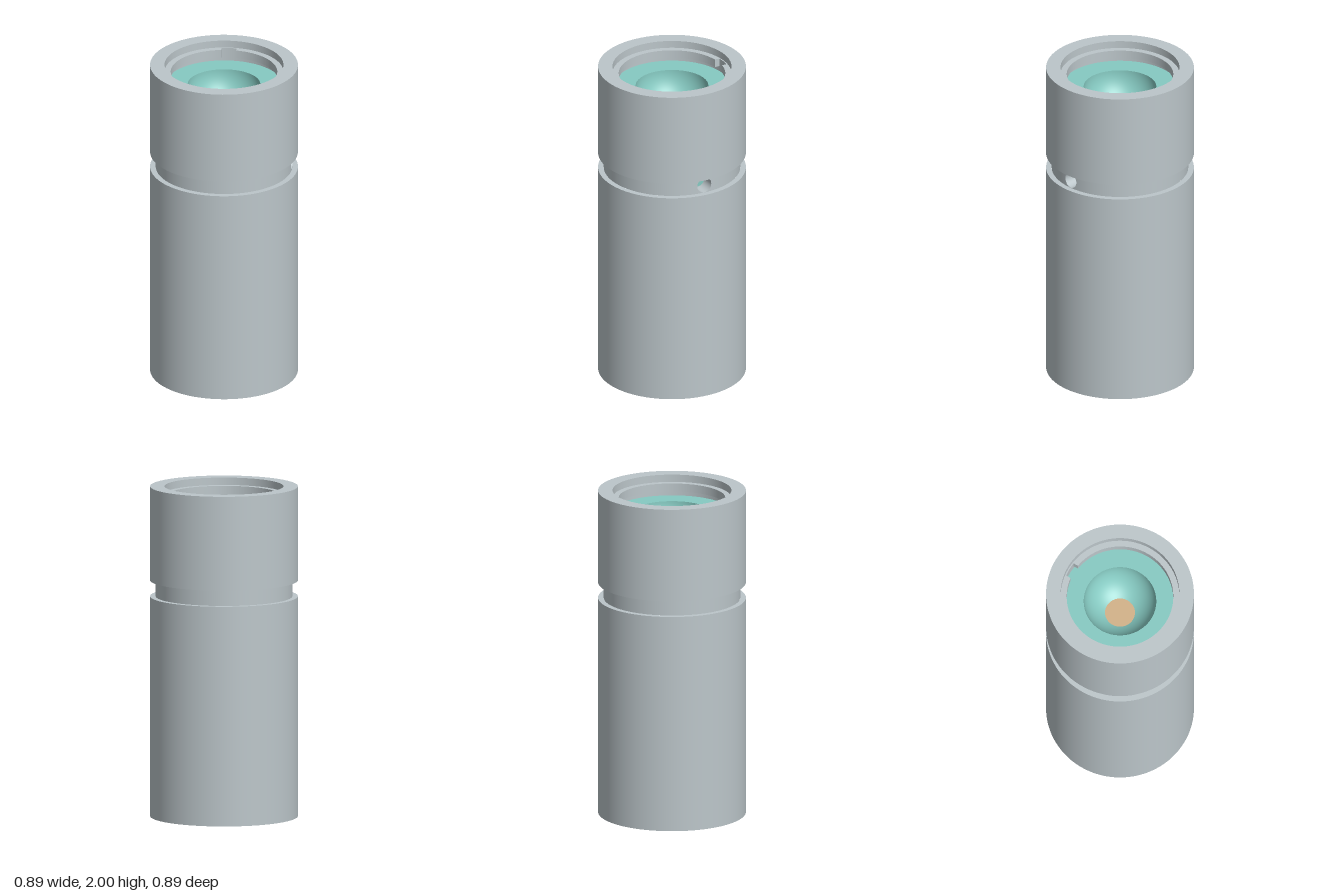
import * as THREE from 'three';
import { mergeGeometries } from 'three/addons/utils/BufferGeometryUtils.js';
import { ParametricGeometry } from 'three/addons/geometries/ParametricGeometry.js';

const SEG = 96;
const R = 0.444;                       // body radius
const GROOVE_R = 0.41, GROOVE_Y0 = 1.333, GROOVE_Y1 = 1.43;
const MID = (GROOVE_Y0 + GROOVE_Y1) / 2, HALF = (GROOVE_Y1 - GROOVE_Y0) / 2;
const HOLE_R = 0.0475, HOLE_END = 0.32;
const RIM_R = 0.357, BORE_R = 0.35, LIP_R = 0.32;
const LIP_TOP = 1.955, LIP_H = 0.05, SEAT_Y = 1.873;
const CUP_R = 0.218, DOT_R = 0.09;

const material = (name, color) => {
  const m = new THREE.MeshStandardMaterial({ color });
  m.name = name;
  return m;
};

// Lathe from [radius, height] points with smooth normals along the profile
const lathe = (pts) => new THREE.LatheGeometry(pts.map(([r, y]) => new THREE.Vector2(r, y)), SEG);

// Lathe with a sharp edge at every profile point
const turned = (pts) => mergeGeometries(pts.slice(1).map((p, i) => lathe([pts[i], p])));

export function createModel() {
  const group = new THREE.Group();
  const metal = material('greyMetal', 0xbcc6ca);
  const teal = material('teal', 0x86cac2);
  const tan = material('tan', 0xd2b188);

  const add = (name, geometry, mat) => {
    const mesh = new THREE.Mesh(geometry, mat);
    mesh.name = name;
    group.add(mesh);
    return mesh;
  };

  // Main body below the groove, then the head with its stepped bore
  add('lowerBody', turned([[0, 0], [R, 0], [R, GROOVE_Y0], [GROOVE_R, GROOVE_Y0]]), metal);
  add('head', turned([
    [GROOVE_R, GROOVE_Y1], [R, GROOVE_Y1], [R, 2], [RIM_R, 2],
    [RIM_R, LIP_TOP], [BORE_R, LIP_TOP], [BORE_R, SEAT_Y],
  ]), metal);

  // Groove wall, left open at +x for the drilled patch
  const open = Math.asin(HALF / GROOVE_R);
  const wall = new THREE.CylinderGeometry(GROOVE_R, GROOVE_R, HALF * 2, SEG, 1, true,
    Math.PI / 2 + open, Math.PI * 2 - open * 2);
  add('grooveWall', wall.translate(0, MID, 0), metal);

  // Patch running from a square edge to the round hole, bent onto the groove wall
  const patch = new ParametricGeometry((u, v, target) => {
    const a = u * Math.PI * 2, c = Math.cos(a), s = Math.sin(a);
    const d = THREE.MathUtils.lerp(HALF / Math.max(Math.abs(c), Math.abs(s)), HOLE_R, v);
    const z = -c * d;
    target.set(Math.sqrt(GROOVE_R ** 2 - z * z), MID + s * d, z);
  }, 48, 3);
  const patchMaterial = metal.clone();
  patchMaterial.side = THREE.DoubleSide;
  add('holeSurround', patch, patchMaterial);

  // Hole wall and the window at its end
  const bore = new ParametricGeometry((u, v, target) => {
    const a = u * Math.PI * 2, z = -Math.cos(a) * HOLE_R;
    const mouth = Math.sqrt(GROOVE_R ** 2 - z * z);
    target.set(THREE.MathUtils.lerp(mouth, HOLE_END, v), MID + Math.sin(a) * HOLE_R, z);
  }, 48, 1);
  add('holeWall', bore, patchMaterial);
  const pane = new THREE.CircleGeometry(HOLE_R, 48).rotateY(Math.PI / 2);
  add('holeWindow', pane.translate(HOLE_END, MID, 0), teal);

  // Retaining lip with a parallel-sided notch at the back
  const notch = (r) => Math.asin(0.045 / r);
  const shape = new THREE.Shape();
  const q = Math.PI / 2;
  shape.absarc(0, 0, BORE_R, q + notch(BORE_R), q - notch(BORE_R) + Math.PI * 2, false);
  shape.absarc(0, 0, LIP_R, q - notch(LIP_R) + Math.PI * 2, q + notch(LIP_R), true);
  const lip = new THREE.ExtrudeGeometry(shape, { depth: LIP_H, bevelEnabled: false, curveSegments: SEG });
  add('retainingLip', lip.rotateX(-Math.PI / 2).translate(0, LIP_TOP - LIP_H, 0), metal);

  // Flat seat with a round cup sunk into it
  add('seat', lathe([[BORE_R, SEAT_Y], [CUP_R, SEAT_Y]]), teal);
  const end = Math.acos(DOT_R / CUP_R);
  const arc = Array.from({ length: 25 }, (_, i) => {
    const t = end * i / 24;
    return [CUP_R * Math.cos(t), SEAT_Y - CUP_R * Math.sin(t)];
  });
  add('cup', lathe(arc), teal);

  // Flat disc at the bottom of the cup
  const dotY = SEAT_Y - CUP_R * Math.sin(end);
  add('cupDisc', lathe([[DOT_R, dotY], [0, dotY]]), tan);

  return group;
}
